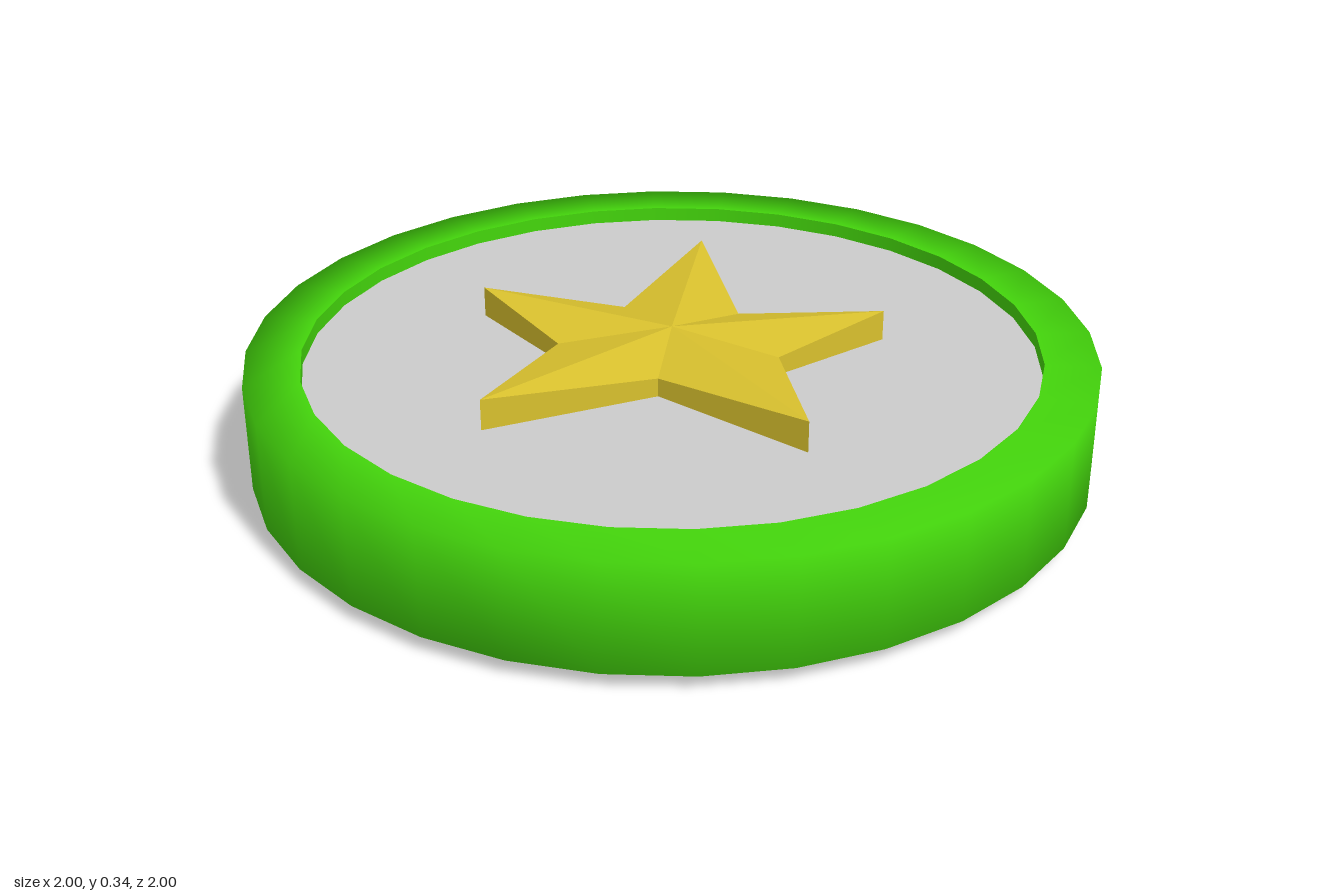
import * as THREE from 'three';

const SEGMENTS = 32;
const MID_Y = 0.17;

function addMesh(group, name, geometry, color) {
  const mesh = new THREE.Mesh(geometry, new THREE.MeshStandardMaterial({ color }));
  mesh.name = name;
  group.add(mesh);
  return mesh;
}

function lathe(points) {
  return new THREE.LatheGeometry(points.map(([r, y]) => new THREE.Vector2(r, y)), SEGMENTS);
}

// Faceted star: tips and centre are full height, the notches dip towards the coin
function starGeometry() {
  const half = [[0, -0.54], [0.14, -0.16], [0.49, -0.16], [0.26, 0.07], [0.36, 0.44], [0, 0.22]];
  const mirrored = half.slice(1, 5).reverse().map(([x, z]) => [-x, z]);
  const outline = [...half, ...mirrored];
  const tipH = 0.17, notchH = 0.14;
  const point = (i, side) => {
    const k = i % outline.length;
    return [outline[k][0], MID_Y + side * (k % 2 ? notchH : tipH), outline[k][1]];
  };
  const pos = [];
  outline.forEach((_, i) => {
    const a = point(i, 1), b = point(i + 1, 1);
    const c = point(i, -1), d = point(i + 1, -1);
    pos.push(0, MID_Y + tipH, 0, ...b, ...a); // top facet
    pos.push(0, MID_Y - tipH, 0, ...c, ...d); // bottom facet
    pos.push(...a, ...b, ...d, ...a, ...d, ...c); // side wall
  });
  const geometry = new THREE.BufferGeometry();
  geometry.setAttribute('position', new THREE.Float32BufferAttribute(pos, 3));
  geometry.computeVertexNormals();
  return geometry;
}

export function createModel() {
  const group = new THREE.Group();
  group.name = 'starCoin';

  // Raised rim: softly shaded outside, crisp inner wall
  const rim = new THREE.Group();
  rim.name = 'rim';
  const green = 0x44d60c;
  addMesh(rim, 'rimOuter', lathe([[0.87, 0.04], [1, 0.04], [1, 0.3], [0.87, 0.3]]), green);
  addMesh(rim, 'rimInner', lathe([[0.87, 0.3], [0.87, 0.04]]), green);
  group.add(rim);

  // Recessed face plate
  const disc = addMesh(group, 'disc', new THREE.CylinderGeometry(0.87, 0.87, 0.19, SEGMENTS), 0xcccccc);
  disc.position.y = MID_Y;

  // Star showing on both faces
  addMesh(group, 'star', starGeometry(), 0xd9c12e);

  return group;
}
